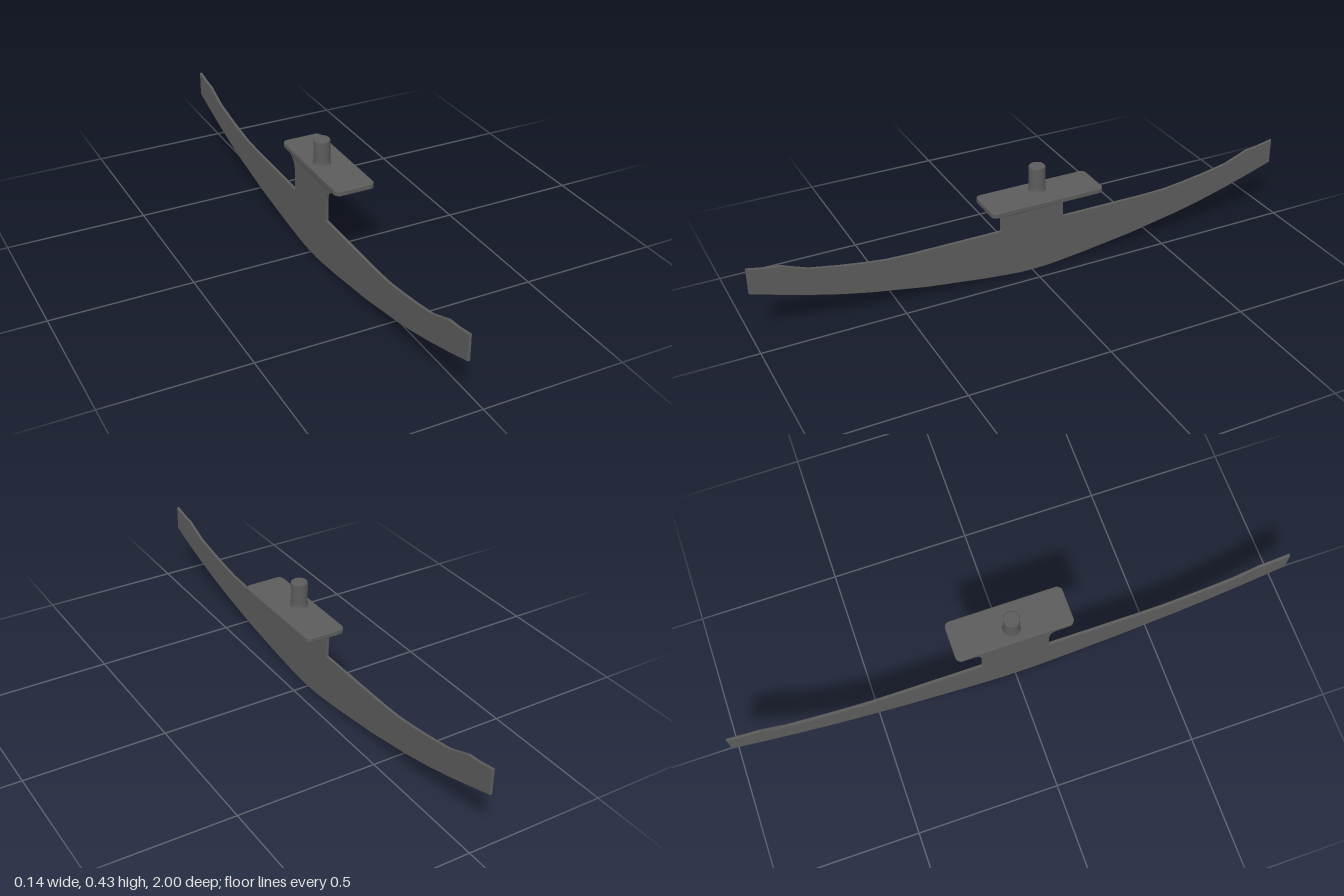
import * as THREE from 'three';

const BLADE_X = -0.061, PEG_X = -0.021;

// Extrude a shape with a small bevel kept inside its outline, centred in depth
function slab(shape, thickness, bevel) {
  const g = new THREE.ExtrudeGeometry(shape, {
    depth: thickness - 2 * bevel, bevelEnabled: true, bevelThickness: bevel,
    bevelSize: bevel, bevelOffset: -bevel, bevelSegments: 3, curveSegments: 8,
  });
  return g.translate(0, 0, -(thickness - 2 * bevel) / 2);
}

export function createModel() {
  const group = new THREE.Group();
  const grey = new THREE.MeshStandardMaterial({ color: 0x5c5c5c });
  grey.name = 'dark grey';
  const add = (name, geometry) => {
    const mesh = new THREE.Mesh(geometry, grey);
    mesh.name = name;
    group.add(mesh);
    return mesh;
  };

  // Curved blade with its flared neck: half profile (z, y), mirrored
  const neck = new THREE.CubicBezierCurve(
    new THREE.Vector2(0.12, 0.255), new THREE.Vector2(0.12, 0.295),
    new THREE.Vector2(0.14, 0.315), new THREE.Vector2(0.19, 0.325)).getPoints(8);
  const half = [
    [0.05, 0.001], [0.1, 0.005], [0.2, 0.016], [0.4, 0.043], [0.6, 0.08], [0.7, 0.103],
    [0.8, 0.13], [0.9, 0.16], [1, 0.192], [1, 0.284], [0.94, 0.272], [0.89, 0.266],
    [0.85, 0.25], [0.8, 0.231], [0.7, 0.212], [0.62, 0.2], [0.54, 0.19], [0.45, 0.187],
    [0.12, 0.187],
  ].map(([z, y]) => new THREE.Vector2(z, y)).concat(neck);
  const mirrored = half.map((p) => new THREE.Vector2(-p.x, p.y)).reverse();
  const blade = slab(new THREE.Shape([new THREE.Vector2(0, 0), ...half, ...mirrored]), 0.01, 0.002);
  add('blade', blade.rotateY(Math.PI / 2).translate(BLADE_X, 0, 0));

  // Fillet where the neck meets the plate
  const f = new THREE.Shape();
  f.moveTo(-0.005, 0.3);
  f.lineTo(0.005, 0.3);
  f.quadraticCurveTo(0.006, 0.318, 0.014, 0.322);
  f.lineTo(-0.009, 0.322);
  f.quadraticCurveTo(-0.005, 0.315, -0.005, 0.3);
  const fillet = new THREE.ExtrudeGeometry(f, { depth: 0.28, bevelEnabled: false });
  add('neckFillet', fillet.translate(BLADE_X, 0, -0.14));

  // Mounting plate with rounded corners
  const w = 0.0725, l = 0.208, r = 0.02;
  const s = new THREE.Shape();
  s.absarc(w - r, l - r, r, 0, Math.PI / 2);
  s.absarc(r - w, l - r, r, Math.PI / 2, Math.PI);
  s.absarc(r - w, r - l, r, Math.PI, Math.PI * 1.5);
  s.absarc(w - r, r - l, r, Math.PI * 1.5, Math.PI * 2);
  add('mountingPlate', slab(s, 0.02, 0.004).rotateX(-Math.PI / 2).translate(0, 0.33, 0));

  // Peg above the plate and boss below it, with softened rims
  const turned = (name, points) => {
    const g = new THREE.LatheGeometry(points.map(([x, y]) => new THREE.Vector2(x, y)), 32);
    add(name, g.translate(PEG_X, 0, 0));
  };
  turned('peg', [[0.033, 0.338], [0.0305, 0.342], [0.029, 0.349], [0.0285, 0.36], [0.0285, 0.424],
    [0.0278, 0.428], [0.0255, 0.43], [0.024, 0.43], [0, 0.43]]);
  turned('boss', [[0, 0.29], [0.028, 0.29], [0.0295, 0.29], [0.0322, 0.2915], [0.033, 0.295],
    [0.033, 0.322]]);

  return group;
}
